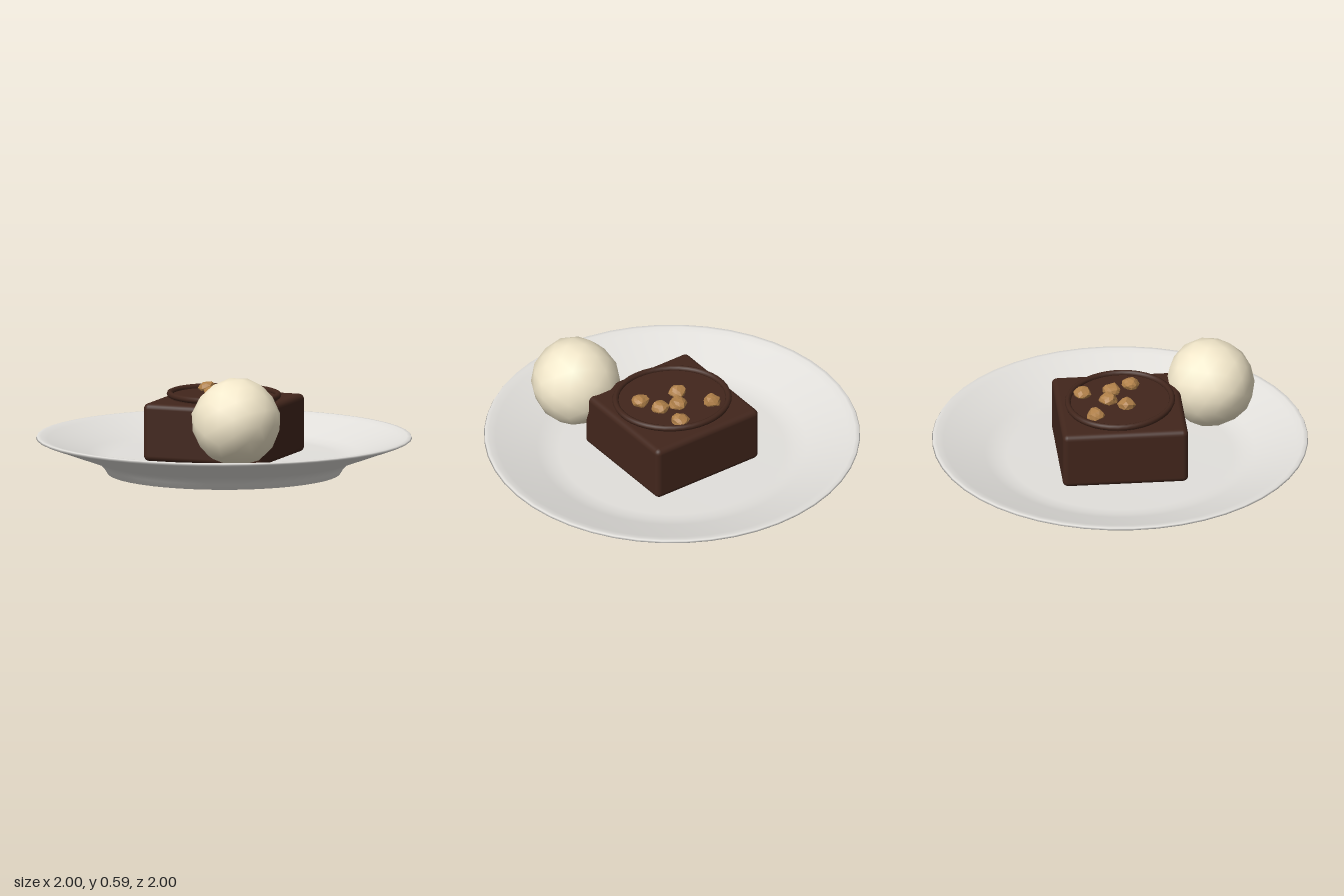
import * as THREE from 'three';
import { mergeVertices } from 'three/addons/utils/BufferGeometryUtils.js';
import { RoundedBoxGeometry } from 'three/addons/geometries/RoundedBoxGeometry.js';

const mat = (color, extra = {}) => new THREE.MeshStandardMaterial({ color, ...extra });

function add(parent, name, geometry, material, x = 0, y = 0, z = 0) {
  const mesh = new THREE.Mesh(geometry, material);
  mesh.name = name;
  mesh.position.set(x, y, z);
  parent.add(mesh);
  return mesh;
}

// Ball whose radius varies by a rule of direction, with shared smooth normals
function lumpyBall(radius, detail, amount, frequency, seed) {
  let g = new THREE.IcosahedronGeometry(1, detail);
  g.deleteAttribute('uv');
  g.deleteAttribute('normal');
  g = mergeVertices(g, 1e-4);
  const p = g.attributes.position;
  const v = new THREE.Vector3();
  for (let i = 0; i < p.count; i++) {
    v.fromBufferAttribute(p, i);
    const n = Math.sin(v.x * frequency + seed) * Math.cos(v.y * frequency * 1.3 + seed * 2)
      + Math.sin(v.z * frequency * 1.1 + seed * 3) * 0.6;
    v.multiplyScalar(radius * (1 + amount * n));
    p.setXYZ(i, v.x, v.y, v.z);
  }
  g.computeVertexNormals();
  return g;
}

export function createModel() {
  const model = new THREE.Group();
  model.name = 'dessertPlate';

  // Plate: flat foot, sloping underside, thin rim and shallow well
  const profile = [
    [0, 0], [0.61, 0], [0.62, 0.002], [0.64, 0.035], [0.665, 0.06], [0.7, 0.077],
    [0.985, 0.18], [1, 0.188], [0.995, 0.197], [0.975, 0.198], [0.94, 0.186],
    [0.72, 0.112], [0.66, 0.097], [0.6, 0.092], [0, 0.092],
  ].map(([x, y]) => new THREE.Vector2(x, y));
  add(model, 'plate', new THREE.LatheGeometry(profile, 48), mat(0xe2e0dc));

  // Square cake, turned on the plate
  const chocolate = mat(0x42261c);
  const cake = add(model, 'cake', new RoundedBoxGeometry(0.67, 0.31, 0.67, 3, 0.03), chocolate, 0, 0.245, 0);
  cake.rotation.y = 0.415;

  // Oval sauce pool with a raised ring
  const sauce = new THREE.Group();
  sauce.name = 'sauce';
  sauce.scale.z = 0.91;
  model.add(sauce);
  add(sauce, 'saucePool', new THREE.CylinderGeometry(0.3, 0.3, 0.025, 40), chocolate, 0, 0.405, 0);
  const ring = add(sauce, 'sauceRing', new THREE.TorusGeometry(0.302, 0.017, 8, 40), chocolate, 0, 0.423, 0);
  ring.rotation.x = Math.PI / 2;

  // Chopped nuts
  const nutColor = mat(0xb08049, { flatShading: true });
  const nuts = [[0, -0.21], [-0.2, -0.07], [-0.02, -0.06], [0.08, -0.075], [0.175, 0], [-0.04, 0.05]];
  nuts.forEach(([x, z], i) => {
    const nut = add(model, 'nut' + (i + 1), lumpyBall(0.047, 1, 0.13, 5, i * 1.7 + 0.4), nutColor, x, 0.428, z);
    nut.scale.y = 0.75;
    nut.rotation.y = i * 1.3;
  });

  // Scoop of ice cream beside the cake
  add(model, 'iceCreamScoop', lumpyBall(0.236, 2, 0.018, 4, 1.1), mat(0xf3e8cb), 0.45, 0.358, 0.355);

  return model;
}
